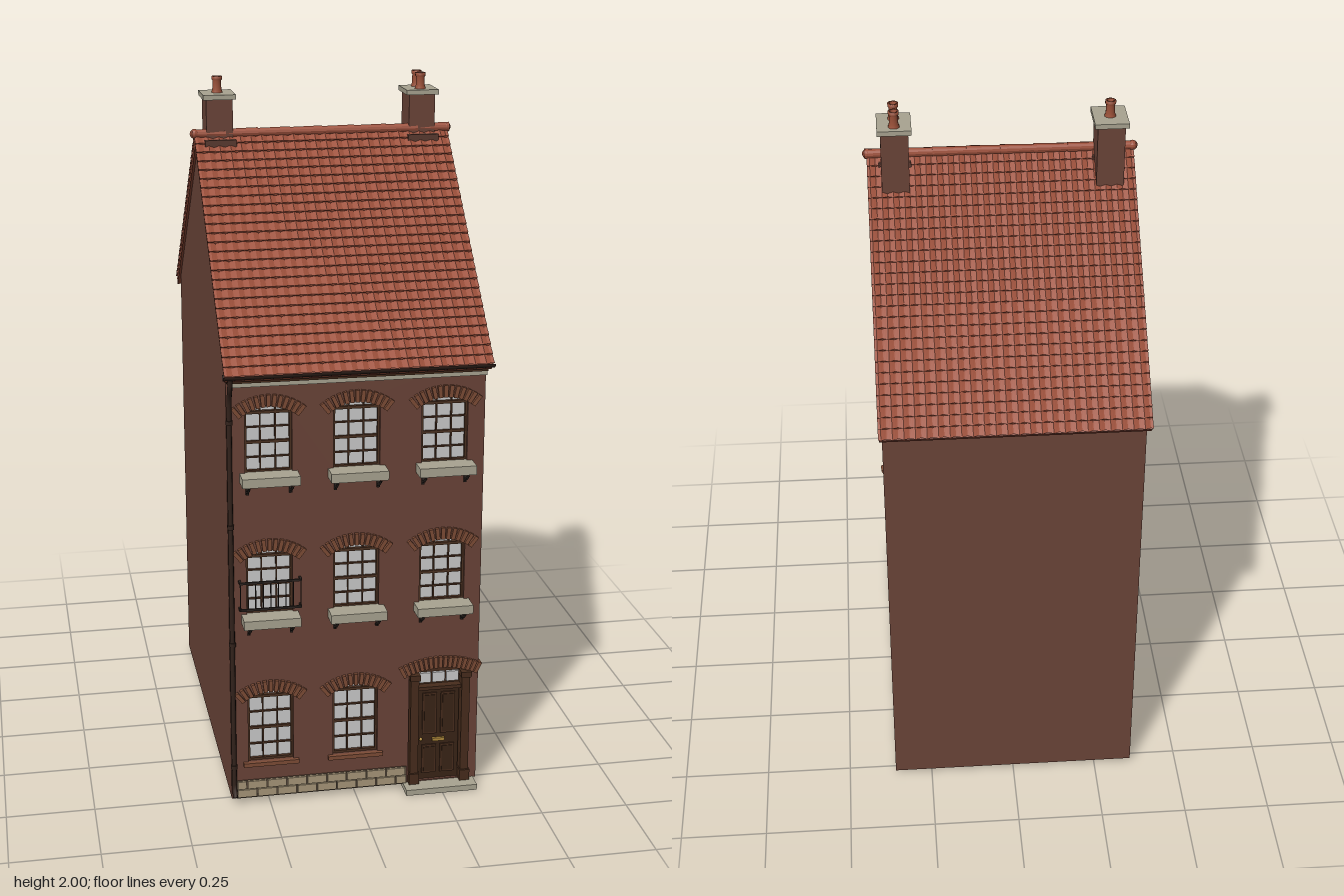
import * as THREE from 'three';

const mat = (color, opts = {}) => {
  const m = new THREE.MeshStandardMaterial({ color, ...opts });
  return m;
};
const M = {
  brick: mat(0x6b4438), arch: mat(0x7d4c36), tile: mat(0x9c503b, { flatShading: true, side: THREE.DoubleSide }),
  verge: mat(0x8a4735), stone: mat(0xa9a491), plinth: mat(0xa8977a), mortar: mat(0x5a4a3c),
  glass: mat(0xcccccc), frame: mat(0x4a3020), door: mat(0x3a2416), trim: mat(0x472c1c),
  iron: mat(0x2b2420), gutter: mat(0x33231c, { side: THREE.DoubleSide }), plaster: mat(0x9c8f74),
  floor: mat(0x4a463a), brass: mat(0xb08a3c), pot: mat(0x9a5038), lead: mat(0x5a3a30),
};

function add(parent, name, geo, material, x = 0, y = 0, z = 0) {
  const m = new THREE.Mesh(geo, material);
  m.name = name;
  m.position.set(x, y, z);
  parent.add(m);
  return m;
}
// box given by its extents
function box(parent, name, material, x0, x1, y0, y1, z0, z1) {
  return add(parent, name, new THREE.BoxGeometry(x1 - x0, y1 - y0, z1 - z0), material,
    (x0 + x1) / 2, (y0 + y1) / 2, (z0 + z1) / 2);
}
function group(parent, name) {
  const g = new THREE.Group();
  g.name = name;
  parent.add(g);
  return g;
}

const W = 0.36, D = 0.535, BASE = 0.015, T = 0.02;
const SLOPE = Math.atan2(0.555, 0.585), LEN = 0.8, RIDGE = 1.835;
const columns = [-0.245, 0, 0.247];
const floors = [{ y0: 0.127, y1: 0.345 }, { y0: 0.582, y1: 0.772 }, { y0: 0.998, y1: 1.188 }];
const openings = [];
floors.forEach((f, i) => columns.forEach((x, c) => {
  if (i > 0 || c < 2) openings.push({ x, ...f, w: 0.13, rise: 0.018, level: i, col: c });
}));
const doorway = { x: 0.247, y0: 0.02, y1: 0.378, w: 0.18, rise: 0.018 };

// rectangle with a segmental arch on top
function archPath(o, Kind) {
  const h = o.w / 2, R = (h * h + o.rise * o.rise) / (2 * o.rise), a = Math.asin(h / R);
  const p = new Kind();
  p.moveTo(o.x - h, o.y0);
  p.lineTo(o.x + h, o.y0);
  p.lineTo(o.x + h, o.y1 - o.rise);
  p.absarc(o.x, o.y1 - R, R, Math.PI / 2 - a, Math.PI / 2 + a, false);
  p.closePath();
  return p;
}
// ring of upright bricks over an opening
function brickArch(parent, o, n, over) {
  const h = o.w / 2, R = (h * h + o.rise * o.rise) / (2 * o.rise), a = Math.asin((h + over) / R);
  const g = group(parent, 'brickArch');
  for (let i = 0; i < n; i++) {
    const t = -a + (2 * a * (i + 0.5)) / n, r = R + 0.017;
    const geo = new THREE.BoxGeometry((2 * a * R / n) * 0.8, 0.034, 0.03);
    add(g, 'archBrick', geo, M.arch, o.x + r * Math.sin(t), o.y1 - R + r * Math.cos(t), D - 0.005).rotation.z = -t;
  }
}

function makeWalls(root) {
  const g = group(root, 'walls');
  // front wall with openings
  const s = new THREE.Shape([[-W + T, BASE], [W - T, BASE], [W - T, 1.3], [-W + T, 1.3]].map(p => new THREE.Vector2(...p)));
  [...openings, doorway].forEach(o => s.holes.push(archPath(o, THREE.Path)));
  add(g, 'frontWall', new THREE.ExtrudeGeometry(s, { depth: T, bevelEnabled: false, curveSegments: 8 }), M.brick, 0, 0, D - T);
  box(g, 'backWall', M.brick, -W + T, W - T, BASE, 1.3, -D, -D + T);
  // gable walls
  const gable = new THREE.Shape([[-D, BASE], [D, BASE], [D, 1.308], [0, 1.815], [-D, 1.308]].map(p => new THREE.Vector2(...p)));
  const geo = new THREE.ExtrudeGeometry(gable, { depth: T, bevelEnabled: false });
  geo.rotateY(Math.PI / 2);
  add(g, 'leftGable', geo, M.brick, W - T);
  add(g, 'rightGable', geo, M.brick, -W);
  // inner room behind the front
  box(g, 'innerWall', M.plaster, -W + T, W - T, 0.04, 1.3, 0.2, 0.21);
  box(g, 'innerFloor', M.floor, -W + T, W - T, 0.03, 0.04, 0.2, D - T);
}

function makeWindow(root, o) {
  const g = group(root, 'window');
  const pane = new THREE.ExtrudeGeometry(archPath(o, THREE.Shape), { depth: 0.006, bevelEnabled: false, curveSegments: 8 });
  add(g, 'glass', pane, M.glass, 0, 0, D - 0.024);
  const z0 = D - 0.018, z1 = D - 0.008, h = o.w / 2, spring = o.y1 - o.rise;
  for (const s of [-1, 1]) box(g, 'sideFrame', M.frame, o.x + s * (h - 0.003) - 0.003, o.x + s * (h - 0.003) + 0.003, o.y0, spring, z0, z1);
  box(g, 'bottomFrame', M.frame, o.x - h, o.x + h, o.y0, o.y0 + 0.007, z0, z1);
  box(g, 'topFrame', M.frame, o.x - h, o.x + h, spring - 0.005, spring + 0.003, z0, z1);
  for (const s of [-1, 1]) box(g, 'verticalBar', M.frame, o.x + s * 0.021 - 0.002, o.x + s * 0.021 + 0.002, o.y0, o.y1 - 0.002, z0, z1 - 0.003);
  for (let k = 1; k < 4; k++) {
    const y = o.y0 + (spring - o.y0) * k / 4, t = k === 2 ? 0.004 : 0.002;
    box(g, 'crossBar', M.frame, o.x - h, o.x + h, y - t, y + t, z0, z1 - 0.003);
  }
  brickArch(g, o, 13, 0.018);
  if (o.level === 0) {
    box(g, 'brickSill', M.arch, o.x - 0.08, o.x + 0.08, o.y0 - 0.012, o.y0, D - 0.02, D + 0.012);
    return;
  }
  // stone sill on iron brackets
  box(g, 'sill', M.stone, o.x - 0.08, o.x + 0.08, o.y0 - 0.024, o.y0 + 0.002, D - 0.02, D + 0.053);
  const curve = new THREE.QuadraticBezierCurve3(new THREE.Vector3(0, -0.055, D), new THREE.Vector3(0, -0.04, D + 0.035), new THREE.Vector3(0, -0.025, D + 0.045));
  for (const s of [-1, 1]) {
    add(g, 'bracket', new THREE.TubeGeometry(curve, 6, 0.004, 5), M.iron, o.x + s * 0.06, o.y0);
    box(g, 'bracketPlate', M.iron, o.x + s * 0.06 - 0.004, o.x + s * 0.06 + 0.004, o.y0 - 0.06, o.y0 - 0.024, D, D + 0.006);
  }
}

// thin rail in front of one window
function makeRailing(root) {
  const g = group(root, 'windowRailing'), x = columns[0], a = 0.085, z = D + 0.02;
  for (const y of [0.605, 0.685]) {
    box(g, 'rail', M.iron, x - a, x + a, y - 0.003, y + 0.003, z - 0.003, z + 0.003);
    for (const s of [-1, 1]) box(g, 'railReturn', M.iron, x + s * a - 0.003, x + s * a + 0.003, y - 0.003, y + 0.003, D, z);
  }
  for (let i = 0; i <= 8; i++) add(g, 'baluster', new THREE.CylinderGeometry(0.0018, 0.0018, 0.08, 5), M.iron, x - a + i * a / 4, 0.645, z);
}

function makeDoor(root) {
  const g = group(root, 'entrance'), x = doorway.x;
  box(g, 'doorBacking', M.trim, x - 0.09, x + 0.09, 0.02, 0.378, D - 0.04, D - 0.02);
  box(g, 'door', M.door, x - 0.06, x + 0.06, 0.02, 0.31, D - 0.02, D - 0.008);
  for (const s of [-1, 1]) {
    box(g, 'pilaster', M.trim, x + s * 0.075 - 0.012, x + s * 0.075 + 0.012, 0.02, 0.345, D - 0.02, D + 0.012);
    box(g, 'pilasterBase', M.trim, x + s * 0.075 - 0.015, x + s * 0.075 + 0.015, 0.016, 0.05, D - 0.02, D + 0.018);
    box(g, 'pilasterCap', M.trim, x + s * 0.075 - 0.015, x + s * 0.075 + 0.015, 0.345, 0.362, D - 0.02, D + 0.018);
    // moulded door panels
    for (const [y0, y1] of [[0.04, 0.13], [0.165, 0.295]]) {
      box(g, 'panelMoulding', M.trim, x + s * 0.027 - 0.021, x + s * 0.027 + 0.021, y0, y1, D - 0.01, D - 0.004);
      box(g, 'panel', M.door, x + s * 0.027 - 0.016, x + s * 0.027 + 0.016, y0 + 0.006, y1 - 0.006, D - 0.006, D - 0.002);
    }
  }
  for (const i of [-1, 0, 1]) box(g, 'transomPane', M.glass, x + i * 0.041 - 0.018, x + i * 0.041 + 0.018, 0.325, 0.355, D - 0.02, D - 0.012);
  box(g, 'transomBar', M.trim, x - 0.065, x + 0.065, 0.308, 0.318, D - 0.02, D + 0.004);
  box(g, 'letterSlot', M.brass, x - 0.018, x + 0.018, 0.142, 0.151, D - 0.01, D);
  add(g, 'doorKnob', new THREE.SphereGeometry(0.005, 10, 8), M.brass, x - 0.052, 0.15, D - 0.003);
  box(g, 'doorstep', M.stone, x - 0.105, x + 0.105, 0, 0.017, D - 0.02, D + 0.05);
  brickArch(g, doorway, 17, 0.018);
}

// two staggered courses of stone blocks
function makePlinth(root) {
  const g = group(root, 'plinth'), x0 = -0.345, x1 = 0.152, w = 0.058;
  box(g, 'mortarBed', M.mortar, x0, x1, BASE, 0.07, D, D + 0.004);
  for (let r = 0; r < 2; r++) {
    for (let x = x0 - r * w / 2; x < x1; x += w) {
      const a = Math.max(x, x0) + 0.002, b = Math.min(x + w, x1) - 0.002;
      if (b > a) box(g, 'plinthBlock', M.plinth, a, b, 0.02 + r * 0.026, 0.043 + r * 0.026, D, D + 0.01);
    }
  }
}

// stepped courses of curved tiles on a thin slab
function makeSlope(parent) {
  const g = group(parent, 'roofSlope'), rows = 26, tiles = 24;
  const geo = new THREE.PlaneGeometry(0.74, LEN, tiles * 4, rows * 2 - 1);
  geo.rotateX(-Math.PI / 2);
  const p = geo.attributes.position, nx = tiles * 4 + 1;
  for (let i = 0; i < p.count; i++) {
    const j = Math.floor(i / nx), c = i % nx;
    const wave = 0.0025 * Math.sin((c / 4) * Math.PI * 2);
    p.setZ(i, ((j >> 1) + (j & 1)) * LEN / rows + ((j & 1) ? wave : 0));
    p.setY(i, ((j & 1) ? 0.01 : 0.004) + wave);
  }
  add(g, 'tiles', geo, M.tile);
  box(g, 'roofBoard', M.verge, -0.367, 0.367, -0.02, 0.001, 0, LEN);
  g.position.y = RIDGE;
  g.rotation.x = SLOPE;
}

function makeRoof(root) {
  const g = group(root, 'roof');
  makeSlope(group(g, 'frontRoof'));
  const back = group(g, 'backRoof');
  back.rotation.y = Math.PI;
  makeSlope(back);
  for (let i = 0; i < 8; i++) {
    const tile = new THREE.CylinderGeometry(0.012, 0.014, 0.096, 12);
    add(g, 'ridgeTile', tile, M.tile, -0.328 + i * 0.0937, RIDGE + 0.008, 0).rotation.z = Math.PI / 2;
  }
  for (const s of [-1, 1]) add(g, 'ridgeEnd', new THREE.SphereGeometry(0.014, 12, 8), M.tile, s * 0.368, RIDGE + 0.008, 0);
}

function makeChimney(root, x, pots) {
  const g = group(root, 'chimney');
  box(g, 'stack', M.brick, x - 0.038, x + 0.038, 1.74, 1.945, -0.085, 0.012);
  box(g, 'flashing', M.lead, x - 0.045, x + 0.045, 1.8, 1.828, -0.03, 0.035);
  box(g, 'capSlab', M.stone, x - 0.047, x + 0.047, 1.94, 1.954, -0.095, 0.02);
  for (const z of pots) {
    const profile = [[0.016, 0], [0.013, 0.01], [0.012, 0.034], [0.015, 0.037], [0.015, 0.046], [0.009, 0.046], [0.009, 0.02], [0, 0.02]];
    add(g, 'chimneyPot', new THREE.LatheGeometry(profile.map(q => new THREE.Vector2(...q)), 14), M.pot, x, 1.954, z);
  }
}

function makeRainwater(root) {
  const g = group(root, 'rainwater');
  box(g, 'cornice', M.stone, -0.35, W, 1.248, 1.262, D, D + 0.014);
  box(g, 'fascia', M.trim, -W, W, 1.262, 1.29, D, D + 0.024);
  const half = new THREE.CylinderGeometry(0.013, 0.013, 0.745, 12, 1, true, Math.PI / 2, Math.PI);
  half.rotateZ(Math.PI / 2);
  half.rotateX(Math.PI / 2);
  const gutter = add(g, 'gutter', half, M.gutter, 0, 1.29, 0.576);
  // turn the trough so that it opens upward
  half.computeBoundingBox();
  if (half.boundingBox.max.y > 0.005) gutter.rotation.x = half.boundingBox.min.y > -0.005 ? Math.PI : half.boundingBox.max.z > 0.005 ? Math.PI / 2 : -Math.PI / 2;
  const pts = [[0.03, 0.562], [0.05, 0.547], [0.1, 0.545], [0.6, 0.545], [1.17, 0.545], [1.22, 0.552], [1.25, 0.57], [1.28, 0.576]];
  const curve = new THREE.CatmullRomCurve3(pts.map(([y, z]) => new THREE.Vector3(-0.353, y, z)), false, 'centripetal');
  add(g, 'downpipe', new THREE.TubeGeometry(curve, 60, 0.007, 8), M.gutter);
  for (const y of [0.12, 0.5, 0.85, 1.15]) add(g, 'pipeCollar', new THREE.CylinderGeometry(0.0095, 0.0095, 0.012, 10), M.gutter, -0.353, y, 0.545);
}

export function createModel() {
  const root = new THREE.Group();
  root.name = 'townHouse';
  makeWalls(root);
  openings.forEach(o => makeWindow(root, o));
  makeRailing(root);
  makeDoor(root);
  makePlinth(root);
  makeRoof(root);
  makeChimney(root, -0.297, [-0.04]);
  makeChimney(root, 0.293, [-0.065, -0.015]);
  makeRainwater(root);
  return root;
}
